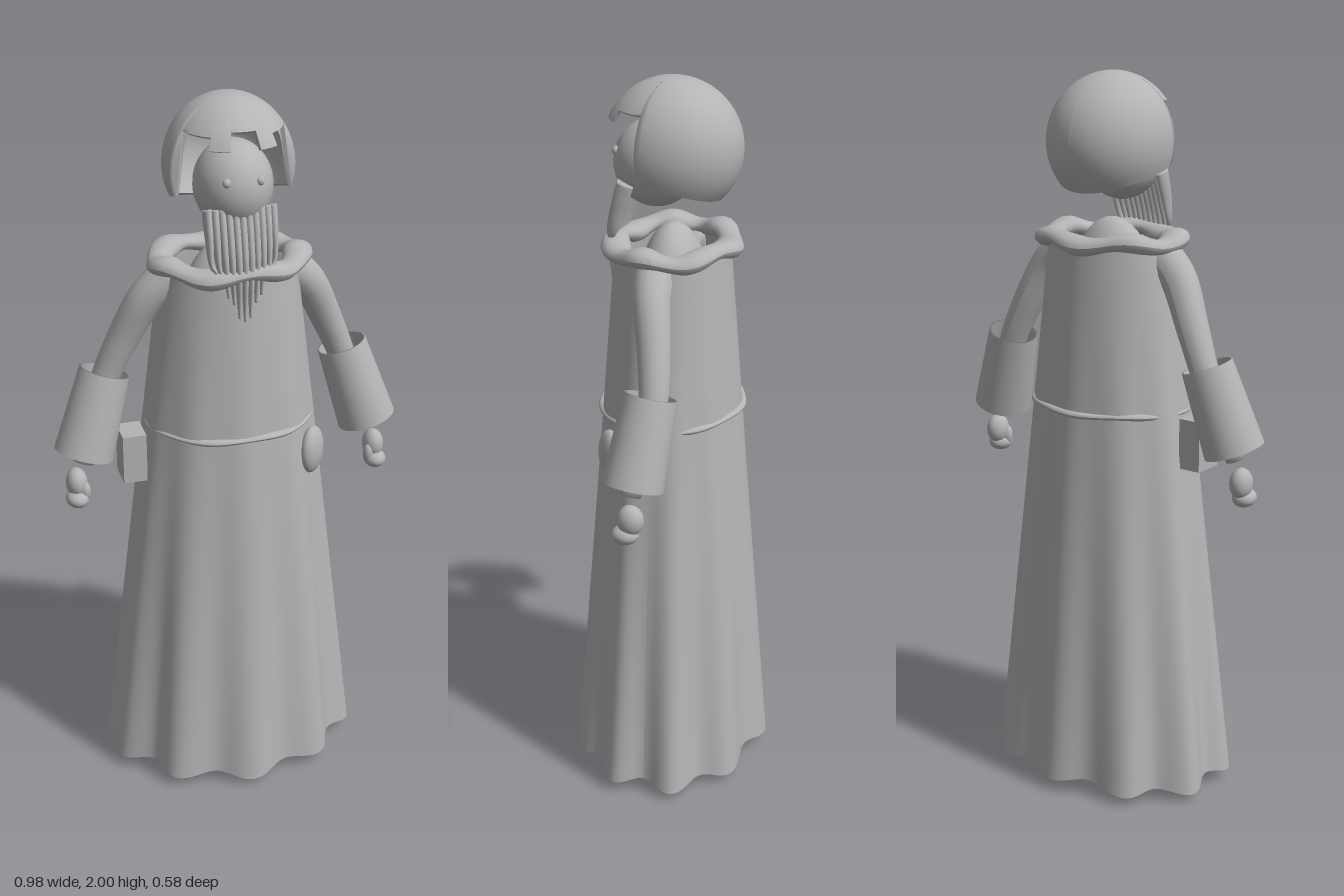
import * as THREE from 'three';

const clay = new THREE.MeshStandardMaterial({ color: 0xb4b4b4, side: THREE.DoubleSide });
clay.name = 'clay grey';

const V = (x, y, z) => new THREE.Vector3(x, y, z);

function add(parent, name, geometry) {
  const mesh = new THREE.Mesh(geometry, clay);
  mesh.name = name;
  parent.add(mesh);
  return mesh;
}

function ellipsoid(parent, name, center, radii) {
  const mesh = add(parent, name, new THREE.SphereGeometry(1, 32, 24));
  mesh.position.set(...center);
  mesh.scale.set(...radii);
  return mesh;
}

// Grid surface from a rule point(i, j), i along rows and j around them
function gridSurface(rows, cols, point) {
  const pos = [], index = [];
  for (let i = 0; i <= rows; i++) {
    for (let j = 0; j <= cols; j++) pos.push(...point(i, j));
  }
  for (let i = 0; i < rows; i++) {
    for (let j = 0; j < cols; j++) {
      const a = i * (cols + 1) + j, b = a + cols + 1;
      index.push(a, b, a + 1, b, b + 1, a + 1);
    }
  }
  const g = new THREE.BufferGeometry();
  g.setAttribute('position', new THREE.Float32BufferAttribute(pos, 3));
  g.setIndex(index);
  g.computeVertexNormals();
  return g;
}

// Tube along a curve whose radius changes, closed at both ends
function taperedTube(points, radius, flat = 1) {
  const curve = new THREE.CatmullRomCurve3(points);
  const rows = 28, cols = 16;
  const frames = curve.computeFrenetFrames(rows, false);
  return gridSurface(rows + 2, cols, (i, j) => {
    const k = Math.min(Math.max(i - 1, 0), rows), t = k / rows;
    const r = i === 0 || i === rows + 2 ? 0 : radius(t);
    const a = -j / cols * Math.PI * 2;
    const offset = frames.normals[k].clone().multiplyScalar(Math.cos(a) * r)
      .addScaledVector(frames.binormals[k], Math.sin(a) * r);
    offset.x *= flat;
    return curve.getPointAt(t).add(offset).toArray();
  });
}

// Long robe with ten folds that deepen toward the hem
function robe() {
  return gridSurface(32, 160, (i, j) => {
    const t = i / 32, a = -j / 160 * Math.PI * 2;
    const fold = 1 - Math.pow(t, 1.2) * 0.055 * (1 + Math.cos(10 * a));
    const rx = 0.185 + 0.192 * t, rz = 0.153 + 0.135 * t;
    const hem = 0.04 + 0.008 * Math.cos(10 * a) + 0.007 * Math.sin(3 * a);
    return [Math.cos(a) * rx * fold, 1.56 + (hem - 1.56) * t, Math.sin(a) * rz * fold];
  });
}

// Soft wavy ring, used for the collar and the belt
function wavyRing(y, rx, rz, tubeH, tubeV, wave) {
  return gridSurface(96, 16, (i, j) => {
    const a = i / 96 * Math.PI * 2, b = j / 16 * Math.PI * 2;
    const w = 1 + 0.14 * Math.sin(7 * a);
    const out = Math.cos(b) * tubeH * w;
    return [Math.cos(a) * (rx + out),
      y + wave * Math.sin(5 * a + 0.6) + Math.sin(b) * tubeV * w,
      Math.sin(a) * (rz + out)];
  });
}

// Height of the helmet's lower edge at angle a from the front
function helmetEdge(a) {
  if (a < 0.25) return 1.935;
  if (a < 0.6) return 1.893;
  if (a < 1.24) return 1.922;
  return 1.739 + 0.304 * 0.17 * Math.cos(a);
}

function helmet() {
  // Pairs of close angles make the steps of the face opening
  const half = [0, 0.12];
  for (const s of [0.25, 0.6, 1.24]) half.push(s - 0.002, s + 0.002);
  for (const s of [0.36, 0.48, 0.76, 0.92, 1.08]) half.push(s);
  for (let i = 1; i <= 20; i++) half.push(1.24 + i / 20 * (Math.PI - 1.24));
  half.sort((p, q) => p - q);
  const angles = [...half.slice(1).reverse().map(a => -a), ...half];
  const n = 20, rx = 0.172, ry = 0.185, rz = 0.187, cy = 1.815;
  const shell = (a, v, k) => {
    const end = Math.acos((helmetEdge(Math.abs(a)) - cy) / ry);
    const p = v * end, s = Math.sin(p);
    return [Math.sin(a) * s * rx * k, cy + Math.cos(p) * ry * k, Math.cos(a) * s * rz * k];
  };
  const g = new THREE.Group();
  g.name = 'helmet';
  const cols = angles.length - 1;
  add(g, 'helmetOuter', gridSurface(n, cols, (i, j) => shell(angles[j], i / n, 1)));
  add(g, 'helmetInner', gridSurface(n, cols, (i, j) => shell(angles[cols - j], i / n, 0.94)));
  add(g, 'helmetRim', gridSurface(1, cols, (i, j) => shell(angles[j], 1, 1 - 0.06 * i)));
  return g;
}

function arm(side) {
  const g = new THREE.Group();
  g.name = side > 0 ? 'leftArm' : 'rightArm';
  add(g, 'upperArm', taperedTube(
    [V(0.15, 1.53, 0.01), V(0.22, 1.47, 0), V(0.29, 1.34, -0.025), V(0.35, 1.2, -0.035), V(0.415, 1.0, 0.005)]
      .map(p => V(p.x * side, p.y, p.z)),
    t => 0.054 - 0.026 * t));

  // Wide open cuff
  const top = V(0.34 * side, 1.252, -0.03), bottom = V(0.412 * side, 1.025, 0);
  const axis = top.clone().sub(bottom);
  const profile = [[0.083, 0], [0.07, 1], [0.064, 1], [0.077, 0], [0.083, 0]]
    .map(([r, t]) => new THREE.Vector2(r, (t - 0.5) * axis.length()));
  const cuff = add(g, 'cuff', new THREE.LatheGeometry(profile, 40));
  cuff.position.copy(top).add(bottom).multiplyScalar(0.5);
  cuff.quaternion.setFromUnitVectors(V(0, 1, 0), axis.normalize());

  // Hand: palm, curled fingers and thumb
  ellipsoid(g, 'palm', [0.436 * side, 0.938, 0], [0.03, 0.043, 0.036]);
  ellipsoid(g, 'fingers', [0.438 * side, 0.896, 0.014], [0.032, 0.026, 0.037]);
  ellipsoid(g, 'thumb', [0.416 * side, 0.918, 0.02], [0.015, 0.028, 0.015]);
  return g;
}

function beard() {
  const g = new THREE.Group();
  g.name = 'beard';
  const count = 11;
  for (let i = 0; i < count; i++) {
    const u = i / (count - 1) * 2 - 1, x = u * 0.086;
    const tip = 1.425 + 0.15 * Math.pow(Math.abs(u), 1.2) + (i % 2) * 0.012;
    const z = -0.012 * u * u;
    const points = [V(x, 1.73, 0.118 + z), V(x, 1.66, 0.14 + z), V(x * 0.97, 1.59, 0.158 + z),
      V(x * 0.85, tip, 0.163 + z * 0.5)];
    add(g, 'beardStrand', taperedTube(points, t => 0.023 * (1 - 0.75 * t * t), 0.55));
  }
  return g;
}

export function createModel() {
  const model = new THREE.Group();
  model.name = 'robedFigure';

  // Clothing and body
  add(model, 'robe', robe());
  add(model, 'collar', wavyRing(1.558, 0.187, 0.15, 0.036, 0.024, 0.008));
  add(model, 'belt', wavyRing(1.1, 0.226, 0.188, 0.014, 0.009, 0.002));
  ellipsoid(model, 'torso', [0, 1.32, 0], [0.15, 0.293, 0.11]);

  // Head
  ellipsoid(model, 'head', [0, 1.773, 0.045], [0.104, 0.118, 0.115]);
  model.add(helmet(), beard());

  for (const side of [1, -1]) {
    ellipsoid(model, 'eye', [0.044 * side, 1.807, 0.143], [0.011, 0.012, 0.01]);
    model.add(arm(side));
    // Leg bending forward into the foot
    add(model, side > 0 ? 'leftLeg' : 'rightLeg', taperedTube(
      [V(0.07, 1.1, 0), V(0.095, 0.6, 0), V(0.115, 0.18, -0.005), V(0.12, 0.075, 0.02), V(0.123, 0.042, 0.09)]
        .map(p => V(p.x * side, p.y, p.z)),
      t => 0.05 - 0.018 * t));
    ellipsoid(model, 'toe', [0.123 * side, 0.036, 0.085], [0.031, 0.032, 0.036]);
  }

  // Things hanging at the waist
  const pouch = add(model, 'pouch', new THREE.BoxGeometry(0.066, 0.14, 0.09));
  pouch.position.set(-0.282, 1.02, 0.02);
  const flask = ellipsoid(model, 'flask', [0.208, 1.01, 0.12], [0.05, 0.07, 0.028]);
  flask.rotation.y = 0.8;

  return model;
}
